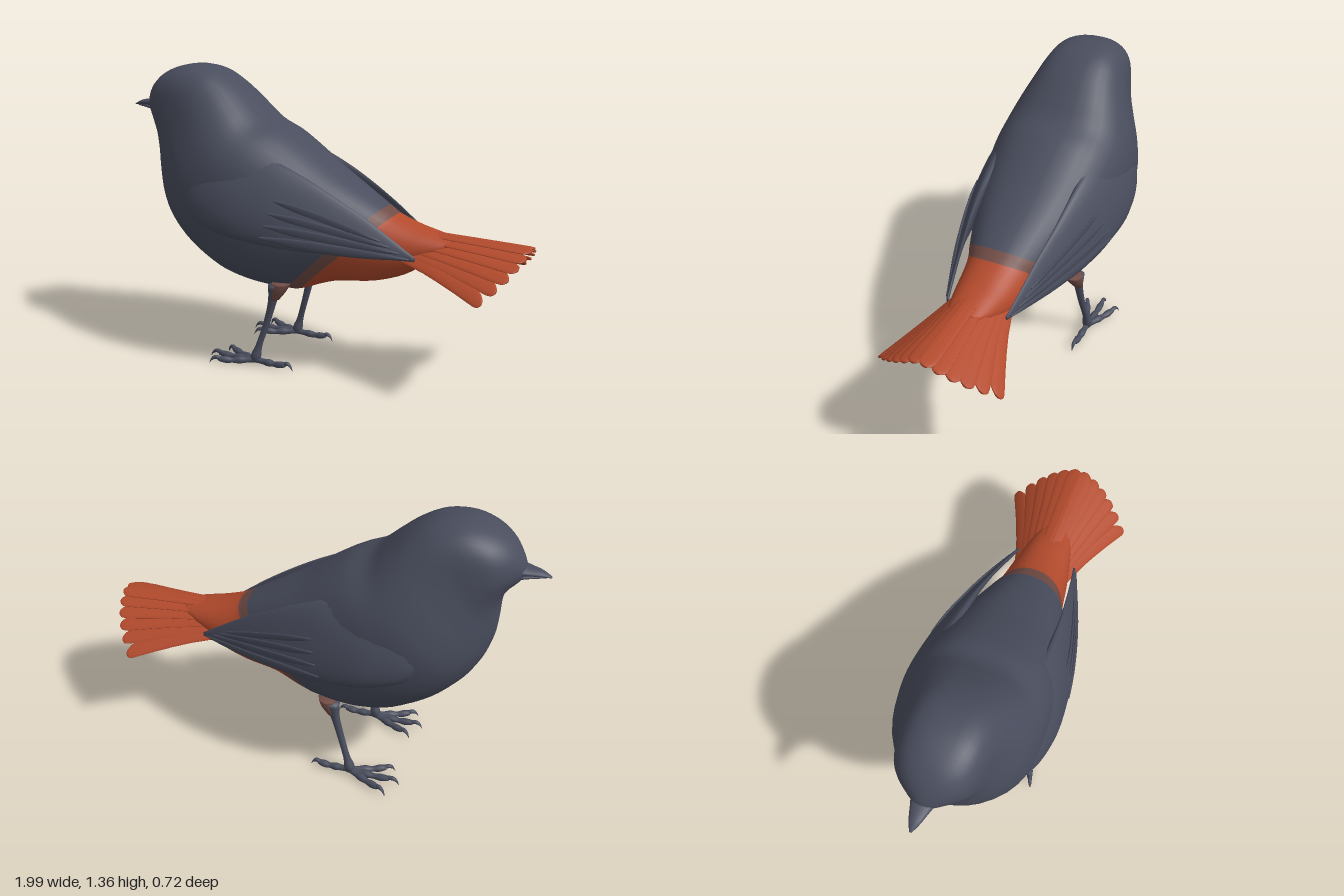
import * as THREE from 'three';

const mat = (name, color) => {
  const m = new THREE.MeshStandardMaterial({ color });
  m.name = name;
  return m;
};

// Catmull-Rom blend of rows of numbers at parameter t (in row units)
function blend(rows, t) {
  const n = rows.length - 1, i = Math.min(Math.floor(t), n - 1), f = t - i;
  const at = k => rows[Math.max(0, Math.min(n, k))];
  const [a, b, c, d] = [at(i - 1), at(i), at(i + 1), at(i + 2)];
  return b.map((_, k) => 0.5 * (2 * b[k] + (c[k] - a[k]) * f
    + (2 * a[k] - 5 * b[k] + 4 * c[k] - d[k]) * f * f
    + (3 * b[k] - a[k] - 3 * c[k] + d[k]) * f * f * f));
}

// Closed loft. Each ring: centre xyz, half-axis u xyz, half-axis v xyz,
// then optional superellipse powers for the +u and -u halves.
// bandStarts splits the length into consecutive material groups.
function loft(rings, { sides = 16, steps = 4, bandStarts = [0] } = {}) {
  const rows = (rings.length - 1) * steps, pos = [], index = [];
  const pw = (x, p) => Math.sign(x) * Math.pow(Math.abs(x), 2 / p);
  for (let r = 0; r <= rows; r++) {
    const q = blend(rings, r / steps);
    for (let j = 0; j < sides; j++) {
      const a = j / sides * Math.PI * 2, p = (Math.cos(a) > 0 ? q[9] : q[10]) ?? 2;
      const c = pw(Math.cos(a), p), s = pw(Math.sin(a), p);
      for (let k = 0; k < 3; k++) pos.push(q[k] + q[3 + k] * c + q[6 + k] * s);
    }
  }
  const first = rings[0], last = rings[rings.length - 1], mid = rings[rings.length >> 1];
  pos.push(...first.slice(0, 3), ...last.slice(0, 3));
  const v = (q, k) => new THREE.Vector3(q[k], q[k + 1], q[k + 2]);
  const flip = v(mid, 3).cross(v(mid, 6)).dot(v(last, 0).sub(v(first, 0))) < 0;
  const tri = (a, b, c) => flip ? index.push(a, c, b) : index.push(a, b, c);
  const capA = (rows + 1) * sides, marks = [];
  for (let r = 0; r < rows; r++) {
    if (bandStarts.includes(r / steps)) marks.push(index.length);
    for (let j = 0; j < sides; j++) {
      const a = r * sides + j, b = r * sides + (j + 1) % sides;
      if (r === 0) tri(capA, b, a);
      tri(a, b, a + sides);
      tri(b, b + sides, a + sides);
      if (r === rows - 1) tri(capA + 1, a + sides, b + sides);
    }
  }
  const g = new THREE.BufferGeometry();
  g.setAttribute('position', new THREE.Float32BufferAttribute(pos, 3));
  g.setIndex(index);
  marks.forEach((m, i) => g.addGroup(m, (marks[i + 1] ?? index.length) - m, i));
  g.computeVertexNormals();
  return g;
}

// Round limb through points [x, y, z, radius], lying mostly along x or along y
const limb = (pts, upright) => loft(pts.map(([x, y, z, r]) =>
  upright ? [x, y, z, r, 0, 0, 0, 0, r] : [x, y, z, 0, r, 0, 0, 0, r]), { sides: 8, steps: 3 });

// Folded wing: x, top y, bottom y, outer z, half thickness, inward lean
const WING = [
  [-0.60, 0.90, 0.82, 0.25, 0.02, 0.02], [-0.54, 0.96, 0.74, 0.295, 0.05, 0.035],
  [-0.45, 1.00, 0.68, 0.33, 0.07, 0.045], [-0.30, 1.01, 0.64, 0.345, 0.075, 0.055],
  [-0.13, 0.98, 0.62, 0.328, 0.06, 0.055], [0.02, 0.92, 0.61, 0.298, 0.04, 0.05],
  [0.16, 0.845, 0.605, 0.262, 0.024, 0.04], [0.30, 0.76, 0.60, 0.22, 0.014, 0.028],
  [0.42, 0.675, 0.59, 0.182, 0.010, 0.012], [0.52, 0.60, 0.58, 0.148, 0.006, 0],
];

// Outer z of the wing surface at a given x and y
function wingSurface(x, y) {
  let i = 0;
  while (i < WING.length - 2 && WING[i + 1][0] < x) i++;
  const f = (x - WING[i][0]) / (WING[i + 1][0] - WING[i][0]);
  const [, a, b, z, h, k] = WING[i].map((n, j) => n + (WING[i + 1][j] - n) * f);
  const p = THREE.MathUtils.clamp((y - (a + b) / 2) / ((a - b) / 2), -1, 1);
  return z - h - k * p + h * Math.sqrt(1 - p * p);
}

export function createModel() {
  const slate = mat('slate plumage', 0x494d5d);
  const rust = mat('rust plumage', 0xb24a2c);
  const brown = mat('brown plumage edge', 0x704b45);
  const bird = new THREE.Group();
  bird.name = 'bird';
  const add = (name, geo, material, parent = bird) => {
    const m = new THREE.Mesh(geo, material);
    m.name = name;
    parent.add(m);
    return m;
  };

  // Body and head: dorsal x, y, ventral x, y, half width, dorsal and ventral squareness
  const body = [
    [-0.90, 1.17, -0.89, 1.13, 0.025, 2, 2], [-0.88, 1.22, -0.865, 1.10, 0.065, 2, 2],
    [-0.83, 1.285, -0.835, 1.07, 0.12, 2.2, 2], [-0.75, 1.335, -0.818, 1.03, 0.16, 2.5, 2],
    [-0.64, 1.36, -0.81, 0.97, 0.185, 2.8, 2], [-0.52, 1.342, -0.808, 0.90, 0.208, 2.8, 2],
    [-0.42, 1.285, -0.80, 0.82, 0.243, 2.6, 2], [-0.33, 1.205, -0.77, 0.72, 0.288, 2.5, 2.05],
    [-0.25, 1.13, -0.71, 0.62, 0.32, 2.5, 2.15], [-0.15, 1.085, -0.60, 0.51, 0.33, 2.4, 2.3],
    [-0.05, 1.02, -0.45, 0.42, 0.32, 2.4, 2.5], [0.07, 0.935, -0.32, 0.38, 0.297, 2.4, 2.6],
    [0.19, 0.86, -0.21, 0.36, 0.26, 2.4, 2.6], [0.33, 0.775, -0.12, 0.352, 0.215, 2.3, 2.6],
    [0.38, 0.745, -0.06, 0.355, 0.19, 2.3, 2.5], [0.43, 0.725, 0.10, 0.41, 0.165, 2.3, 2.4],
    [0.49, 0.705, 0.29, 0.435, 0.145, 2.3, 2.3], [0.55, 0.69, 0.44, 0.485, 0.122, 2.3, 2.3],
    [0.61, 0.675, 0.53, 0.55, 0.10, 2.2, 2.2], [0.66, 0.665, 0.62, 0.62, 0.07, 2, 2],
  ].map(([ax, ay, bx, by, w, p, q]) =>
    [(ax + bx) / 2, (ay + by) / 2, 0, (ax - bx) / 2, (ay - by) / 2, 0, 0, 0, w, p, q]);
  add('body', loft(body, { sides: 40, bandStarts: [0, 13, 14] }), [slate, brown, rust]);

  // Beak halves
  add('upperBeak', loft([
    [-0.85, 1.165, 0, 0, 0.028, 0, 0, 0, 0.06], [-0.91, 1.163, 0, 0, 0.017, 0, 0, 0, 0.04],
    [-0.96, 1.158, 0, 0, 0.012, 0, 0, 0, 0.024], [-1.0, 1.148, 0, 0, 0.003, 0, 0, 0, 0.005]]), slate);
  add('lowerBeak', loft([
    [-0.85, 1.135, 0, 0, 0.02, 0, 0, 0, 0.05], [-0.91, 1.143, 0, 0, 0.011, 0, 0, 0, 0.033],
    [-0.98, 1.146, 0, 0, 0.004, 0, 0, 0, 0.009]]), slate);

  // Tail fan: overlapping feathers spread, droop and shorten toward the sides
  const tail = new THREE.Group();
  tail.name = 'tail';
  bird.add(tail);
  const count = 12;
  for (let i = 0; i < count; i++) {
    const t = i / (count - 1) * 2 - 1, e = Math.abs(t);
    const base = [0.42, 0.69 - 0.09 * e, 0.105 * t];
    const tip = [0.993 - 0.13 * t * t, 0.665 - 0.175 * Math.pow(e, 1.3), 0.272 * t];
    const roll = -0.6 * t - 0.1 * Math.sign(t);
    const ring = (f, w) => {
      const g = Math.pow(f, 1.2);
      return [base[0] + (tip[0] - base[0]) * f, base[1] + (tip[1] - base[1]) * g,
        base[2] + (tip[2] - base[2]) * g,
        0, 0.006 * Math.cos(roll), -0.006 * Math.sin(roll),
        0, w * Math.sin(roll), w * Math.cos(roll)];
    };
    add('tailFeather', loft([ring(0, 0.03), ring(0.35, 0.034), ring(0.7, 0.038),
      ring(0.92, 0.041), ring(0.975, 0.031), ring(1, 0.012)], { sides: 10, steps: 2 }), rust, tail);
  }

  for (const s of [1, -1]) {
    const side = s > 0 ? 'left' : 'right';

    // Wing
    add(side + 'Wing', loft(WING.map(([x, a, b, z, h, k]) =>
      [x, (a + b) / 2, s * (z - h), 0, (a - b) / 2, -s * k, 0, 0, s * h]), { sides: 24 }), slate);

    // Flight feathers fanned over the rear of the wing
    for (let i = 0; i < 4; i++) {
      const f = i / 3, x0 = -0.12 + 0.05 * f, y0 = 0.66 + 0.16 * f;
      const x1 = 0.50 - 0.12 * f, y1 = 0.592 + 0.075 * f;
      const ring = (p, w) => {
        const x = x0 + (x1 - x0) * p, y = y0 + (y1 - y0) * p;
        return [x, y, s * wingSurface(x, y), 0, w, s * w * 0.1, 0, 0, s * 0.006];
      };
      add(side + 'FlightFeather', loft([ring(0, 0.005), ring(0.2, 0.02), ring(0.4, 0.024),
        ring(0.6, 0.022), ring(0.8, 0.016), ring(1, 0.004)], { sides: 8, steps: 3 }), slate);
    }

    // Eye
    const eye = add(side + 'Eye', new THREE.SphereGeometry(0.024, 16, 10), slate);
    eye.position.set(-0.745, 1.19, s * 0.155);
    eye.scale.set(1.2, 0.9, 0.6);

    // Thigh tuft and leg
    add(side + 'Thigh', limb([[-0.105, 0.41, s * 0.178, 0.045], [-0.115, 0.375, s * 0.185, 0.038],
      [-0.137, 0.33, s * 0.19, 0.024]], true), brown);
    add(side + 'Leg', limb([[-0.13, 0.40, s * 0.187, 0.036], [-0.145, 0.32, s * 0.19, 0.022],
      [-0.175, 0.21, s * 0.195, 0.017], [-0.21, 0.10, s * 0.207, 0.017],
      [-0.225, 0.05, s * 0.21, 0.026], [-0.225, 0.02, s * 0.21, 0.018]], true), slate);

    // Toes with hooked claws: direction angle and length, three forward and one back
    for (const [angle, len] of [[-0.42, 0.22], [0, 0.245], [0.4, 0.22], [Math.PI, 0.19]]) {
      const toe = new THREE.Group();
      toe.name = side + 'Toe';
      toe.position.set(-0.225, 0, s * 0.21);
      toe.rotation.y = angle;
      bird.add(toe);
      const p = (f, y, r) => [-len * f, y, 0, r];
      add('toePads', limb([p(-0.05, 0.03, 0.016), p(0.2, 0.025, 0.014), p(0.35, 0.024, 0.018),
        p(0.5, 0.022, 0.013), p(0.64, 0.024, 0.017), p(0.8, 0.028, 0.012)]), slate, toe);
      add('claw', limb([p(0.74, 0.028, 0.011), p(0.86, 0.036, 0.010),
        p(0.95, 0.026, 0.007), p(1, 0.005, 0.002)]), slate, toe);
    }
  }
  return bird;
}
